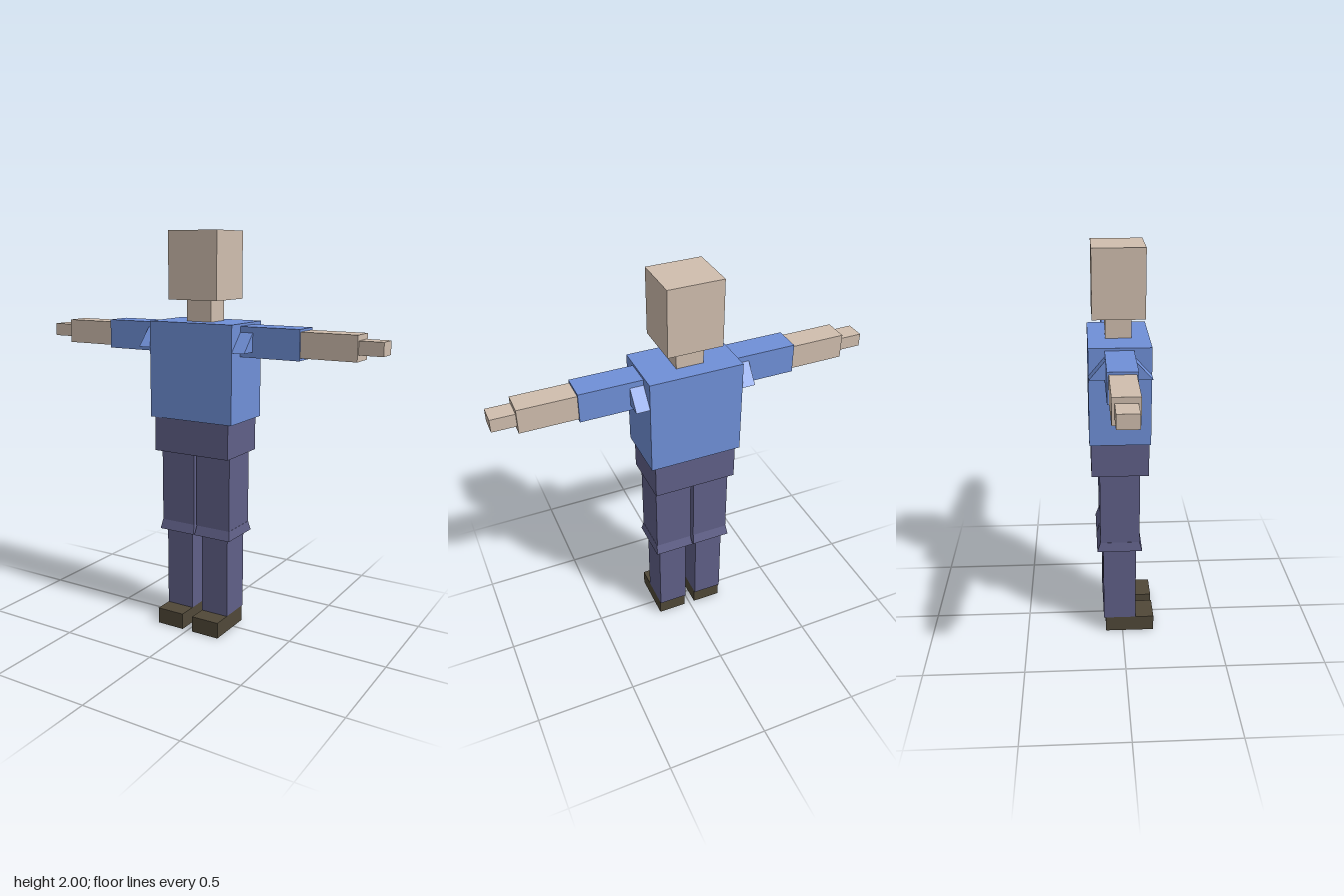
import * as THREE from 'three';

function material(name, color) {
  const m = new THREE.MeshStandardMaterial({ color });
  m.name = name;
  return m;
}

export function createModel() {
  const skin = material('skin', 0xd0beae);
  const shirt = material('shirt blue', 0x7090d8);
  const trousers = material('trouser purple', 0x606088);
  const leather = material('shoe brown', 0x504838);

  const model = new THREE.Group();
  model.name = 'blockFigure';

  function add(name, geometry, mat, parent = model) {
    const mesh = new THREE.Mesh(geometry, mat);
    mesh.name = name;
    parent.add(mesh);
    return mesh;
  }

  // Box given by its limits on each axis
  function block(name, mat, [x0, x1], [y0, y1], [z0, z1], parent) {
    const g = new THREE.BoxGeometry(x1 - x0, y1 - y0, z1 - z0);
    g.translate((x0 + x1) / 2, (y0 + y1) / 2, (z0 + z1) / 2);
    return add(name, g, mat, parent);
  }

  // Head and body
  block('head', skin, [-0.135, 0.135], [1.675, 2], [-0.14, 0.108]);
  block('neck', skin, [-0.068, 0.068], [1.57, 1.675], [-0.077, 0.047]);
  block('torso', shirt, [-0.231, 0.231], [1.093, 1.57], [-0.161, 0.132]);
  block('hips', trousers, [-0.21, 0.21], [0.92, 1.093], [-0.153, 0.126]);

  // Flared cuff: a box whose bottom corners spread outwards
  function cuffGeometry(cx) {
    const top = { x: 0.094, z0: -0.113, z1: 0.084 };
    const bottom = { x: 0.101, z0: -0.129, z1: 0.098 };
    const g = new THREE.BoxGeometry(2, 2, 2).toNonIndexed();
    const p = g.attributes.position;
    for (let i = 0; i < p.count; i++) {
      const up = p.getY(i) > 0;
      const ring = up ? top : bottom;
      p.setXYZ(i, cx + Math.sign(p.getX(i)) * ring.x, up ? 0.545 : 0.497, p.getZ(i) > 0 ? ring.z1 : ring.z0);
    }
    g.computeVertexNormals();
    return g;
  }

  // Triangular shoulder wedge lying between the arm and the torso edge
  function wedgeGeometry(zArm, zEdge, x) {
    const shape = new THREE.Shape([
      new THREE.Vector2(zArm, 1.44),
      new THREE.Vector2(zEdge, 1.44),
      new THREE.Vector2(zArm, 1.53),
    ]);
    const g = new THREE.ExtrudeGeometry(shape, { depth: 0.066, bevelEnabled: false });
    g.rotateY(-Math.PI / 2);
    g.translate(x, 0, 0);
    return g;
  }

  for (const side of [1, -1]) {
    const label = side > 0 ? 'left' : 'right';
    const span = (a, b) => (side > 0 ? [a, b] : [-b, -a]);

    // Arm
    const arm = new THREE.Group();
    arm.name = label + 'Arm';
    model.add(arm);
    block('upperArm', shirt, span(0.231, 0.538), [1.413, 1.558], [-0.086, 0.049], arm);
    block('forearm', skin, span(0.538, 0.812), [1.426, 1.546], [-0.078, 0.041], arm);
    block('hand', skin, span(0.812, 0.927), [1.456, 1.52], [-0.065, 0.029], arm);
    const wedgeX = side > 0 ? 0.297 : -0.231;
    add('frontShoulderWedge', wedgeGeometry(0.049, 0.132, wedgeX), shirt, arm);
    add('backShoulderWedge', wedgeGeometry(-0.086, -0.161, wedgeX), shirt, arm);

    // Leg
    const leg = new THREE.Group();
    leg.name = label + 'Leg';
    model.add(leg);
    block('thigh', trousers, span(0.008, 0.196), [0.545, 0.92], [-0.113, 0.084], leg);
    add('kneeCuff', cuffGeometry(side * 0.103), trousers, leg);
    block('shin', trousers, span(0.029, 0.178), [0.082, 0.497], [-0.098, 0.068], leg);
    block('shoe', leather, span(0.029, 0.178), [0, 0.082], [-0.087, 0.163], leg);
  }

  return model;
}
